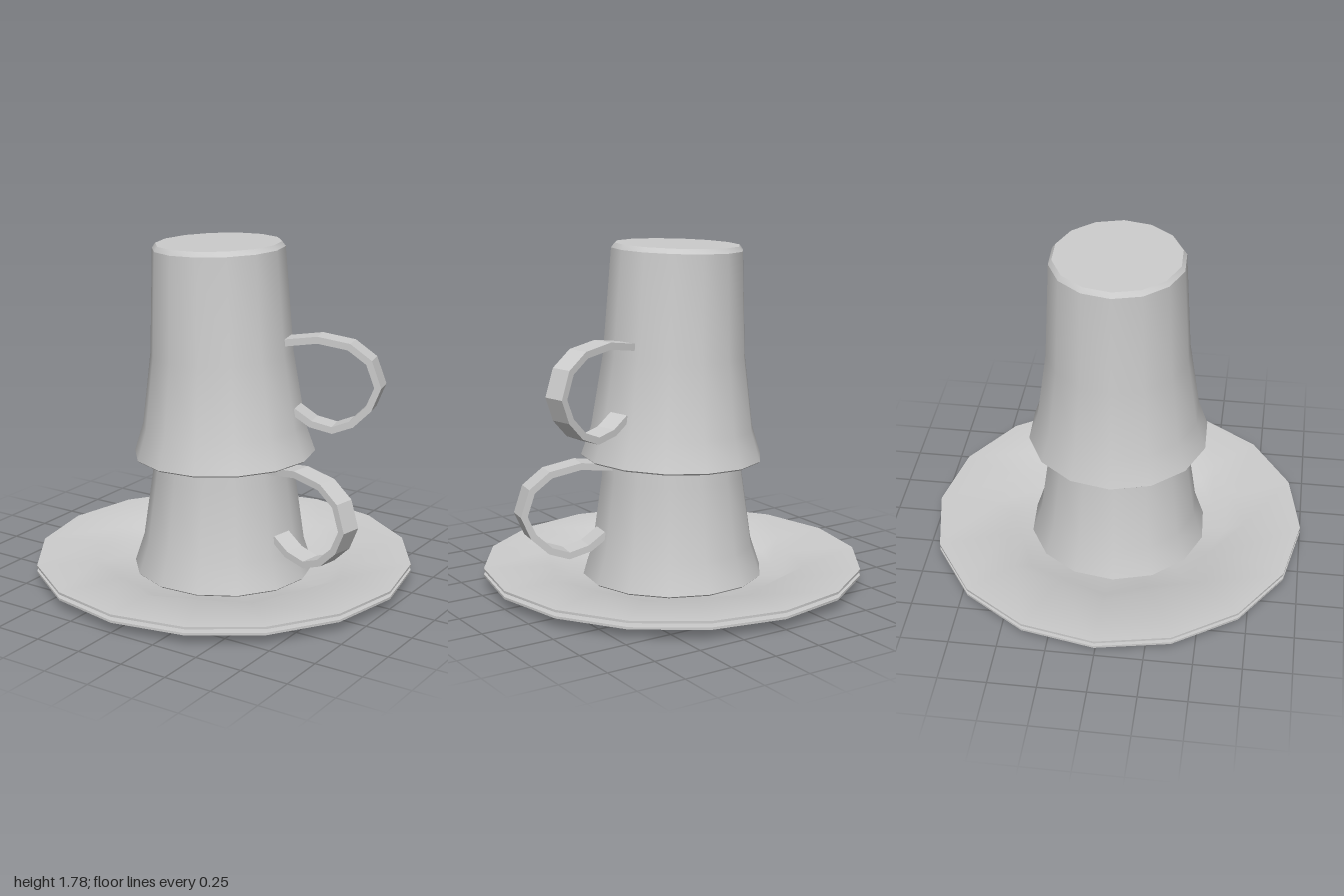
import * as THREE from 'three';
import { toCreasedNormals } from 'three/addons/utils/BufferGeometryUtils.js';

const material = new THREE.MeshStandardMaterial({ color: 0xcccccc, side: THREE.DoubleSide });
const vec = ([x, y]) => new THREE.Vector2(x, y);

function addMesh(parent, name, geometry) {
  const mesh = new THREE.Mesh(geometry, material);
  mesh.name = name;
  parent.add(mesh);
  return mesh;
}

// Saucer layer: a 16-sided rim around an octagonal well
function saucerGeometry(profile) {
  const geometry = new THREE.LatheGeometry(profile.map(vec), 16);
  const pos = geometry.attributes.position;
  const k = Math.cos(Math.PI / 8);
  for (let i = 0; i < pos.count; i++) {
    const segment = Math.floor(i / profile.length);
    const inWell = profile[i % profile.length][0] < 0.8;
    if (segment % 2 && inWell) pos.setXYZ(i, pos.getX(i) * k, pos.getY(i), pos.getZ(i) * k);
  }
  return toCreasedNormals(geometry, 0.62);
}

// Upside-down cup: inner wall down to the rim, then the outer wall up to the foot
function cupGeometry() {
  const profile = [
    [0, 1.07], [0.31, 1.07], [0.345, 0.54], [0.395, 0.16], [0.462, 0.005],
    [0.468, 0], [0.477, 0.008], [0.427, 0.16], [0.373, 0.54],
    [0.343, 1.085], [0.325, 1.11], [0, 1.11],
  ];
  return toCreasedNormals(new THREE.LatheGeometry(profile.map(vec), 14), 0.55);
}

// Handle: a flat band following an open loop
function handleGeometry() {
  const thickness = 0.036, width = 0.115;
  const outer = [
    [0.32, 0.62], [0.36, 0.631], [0.53, 0.652], [0.7, 0.622], [0.81, 0.54], [0.857, 0.4],
    [0.805, 0.28], [0.71, 0.19], [0.6, 0.15], [0.48, 0.178], [0.385, 0.243],
  ].map(vec);
  const inner = outer.map((p, i) => {
    const a = outer[Math.max(i - 1, 0)], b = outer[Math.min(i + 1, outer.length - 1)];
    const t = b.clone().sub(a).normalize();
    return new THREE.Vector2(p.x + t.y * thickness, p.y - t.x * thickness);
  });
  const shape = new THREE.Shape([...outer, ...inner.reverse()]);
  const geometry = new THREE.ExtrudeGeometry(shape, { depth: width, bevelEnabled: false });
  return geometry.translate(0, 0, -width / 2);
}

function createCup(name, position, yaw, tilt) {
  const cup = new THREE.Group();
  cup.name = name;
  addMesh(cup, 'cupBody', cupGeometry());
  addMesh(cup, 'cupHandle', handleGeometry());
  cup.rotation.set(0, yaw, tilt, 'ZYX');
  cup.position.set(...position);
  return cup;
}

export function createModel() {
  const model = new THREE.Group();
  model.name = 'stackedCupsOnSaucer';

  // Saucer underside and top, split by a fine groove at the rim
  addMesh(model, 'saucerBase', saucerGeometry([
    [0, 0], [0.59, 0], [0.69, 0.055], [1, 0.053], [1, 0.065], [0.69, 0.07], [0.59, 0.015], [0, 0.015],
  ]));
  addMesh(model, 'saucerTop', saucerGeometry([
    [0, 0.018], [0.59, 0.018], [0.69, 0.073], [1, 0.085], [1, 0.097], [0.7, 0.09], [0.59, 0.03], [0, 0.03],
  ]));

  // The upper cup leans slightly over the lower one
  const deg = Math.PI / 180;
  model.add(createCup('lowerCup', [0, 0.03, 0], -9.5 * deg, 0));
  model.add(createCup('upperCup', [0.005, 0.66, 0], 14.5 * deg, 2 * deg));
  return model;
}
